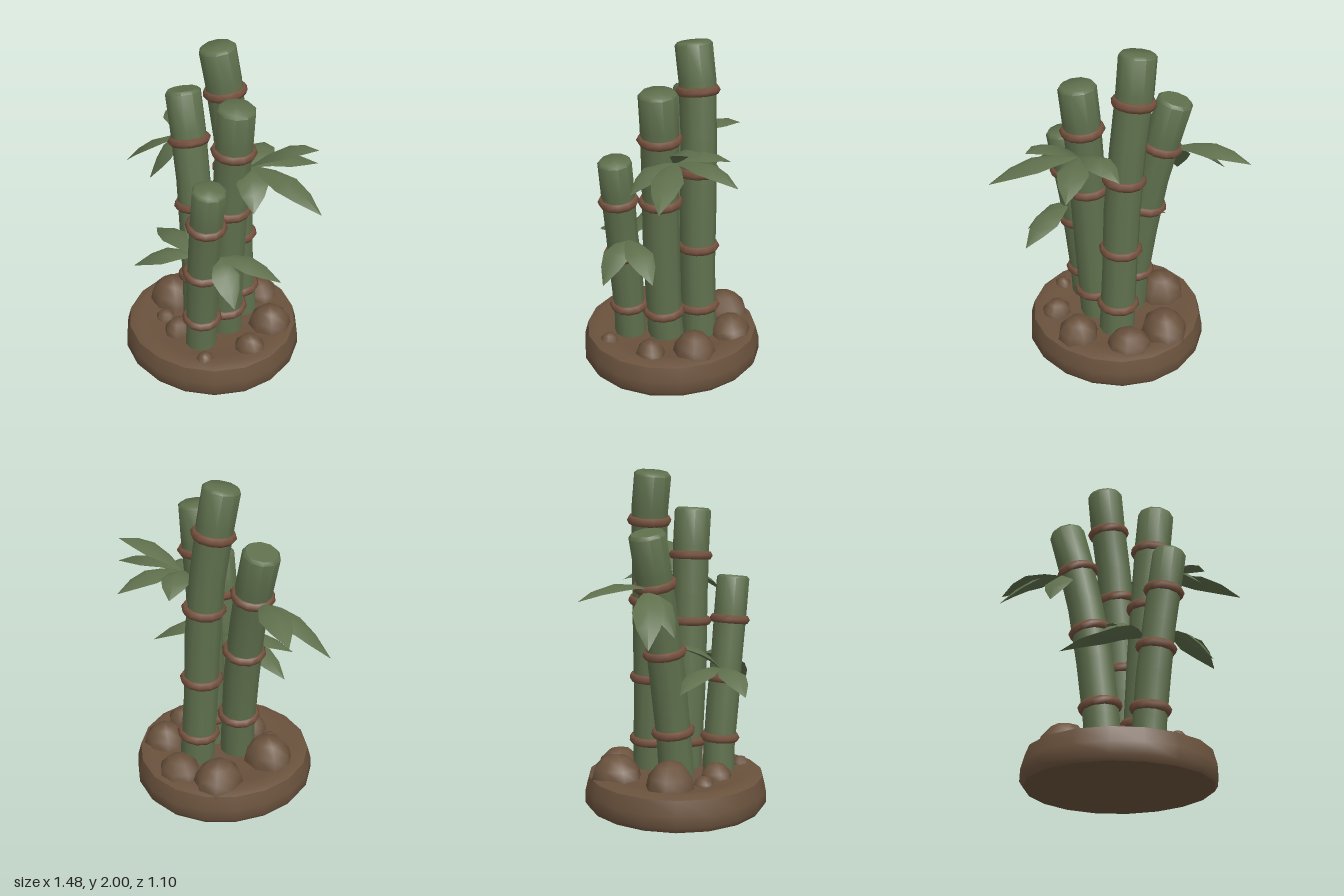
import * as THREE from 'three';
import { toCreasedNormals } from 'three/addons/utils/BufferGeometryUtils.js';

const mat = (name, color) => Object.assign(new THREE.MeshStandardMaterial({ color }), { name });
const UP = new THREE.Vector3(0, 1, 0);
const v2 = (a) => new THREE.Vector2(a[0], a[1]);
const v3 = (a) => new THREE.Vector3(...a);

// Point on a curve at a given height
function atHeight(curve, y) {
  let lo = 0, hi = 1;
  for (let i = 0; i < 24; i++) {
    const m = (lo + hi) / 2;
    if (curve.getPoint(m).y < y) lo = m; else hi = m;
  }
  return lo;
}

// Capped stalk: a unit-height lathe bent along a curve
function stalkGeometry(curve, r) {
  const profile = [[r, 0], [r * 0.97, 0.2], [r, 0.4], [r * 0.97, 0.6], [r, 0.8], [r, 0.985], [r * 0.85, 1], [0, 1]];
  const g = new THREE.LatheGeometry(profile.map(v2), 10);
  const p = g.attributes.position, q = new THREE.Quaternion(), v = new THREE.Vector3();
  for (let i = 0; i < p.count; i++) {
    const t = p.getY(i);
    q.setFromUnitVectors(UP, curve.getTangent(t));
    v.set(p.getX(i), 0, p.getZ(i)).applyQuaternion(q).add(curve.getPoint(t));
    p.setXYZ(i, v.x, v.y, v.z);
  }
  return toCreasedNormals(g, 0.85);
}

// Arched leaf with a diamond cross-section, lofted from root to tip
function leafGeometry(root, tip, width) {
  const a = v3(root), b = v3(tip);
  const mid = a.clone().lerp(b, 0.5);
  mid.y += 0.09;
  const curve = new THREE.QuadraticBezierCurve3(a, mid, b);
  const stations = [[0, 0.15], [0.25, 0.65], [0.5, 1], [0.75, 0.7], [1, 0.02]];
  const pos = [], idx = [];
  stations.forEach(([t, w], i) => {
    const c = curve.getPoint(t), d = curve.getTangent(t);
    const s = d.clone().cross(UP).normalize(), n = s.clone().cross(d);
    const section = [[1, -0.12], [0, 0.2], [-1, -0.12], [0, -0.25]];
    section.forEach(([x, y], j) => {
      const pt = c.clone().addScaledVector(s, x * w * width).addScaledVector(n, y * w * width);
      pos.push(pt.x, pt.y, pt.z);
      if (i < stations.length - 1) {
        const k = i * 4 + j, l = i * 4 + (j + 1) % 4;
        idx.push(k, k + 4, l, l, k + 4, l + 4);
      }
    });
  });
  const g = new THREE.BufferGeometry();
  g.setAttribute('position', new THREE.Float32BufferAttribute(pos, 3));
  g.setIndex(idx);
  return toCreasedNormals(g, 0.8);
}

export function createModel() {
  const green = mat('bamboo green', 0x5f704d);
  const soil = mat('soil brown', 0x6a523d);
  const nodeBrown = mat('node brown', 0x74503d);
  const model = new THREE.Group();
  const add = (name, geometry, material, parent = model) => {
    const m = new THREE.Mesh(geometry, material);
    m.name = name;
    parent.add(m);
    return m;
  };

  // Round mound with a soft rim and a slightly irregular outline
  const profile = [[0, 0], [0.53, 0], [0.55, 0.03], [0.548, 0.1], [0.525, 0.185], [0.47, 0.205], [0.4, 0.19], [0, 0.2]];
  const base = new THREE.LatheGeometry(profile.map(v2), 18);
  const bp = base.attributes.position;
  for (let i = 0; i < bp.count; i++) {
    const x = bp.getX(i), z = bp.getZ(i), k = 1 + 0.012 * Math.sin(3 * Math.atan2(z, x));
    bp.setX(i, x * k);
    bp.setZ(i, z * k);
  }
  add('base', toCreasedNormals(base, 0.9), soil).position.x = -0.03;

  // Rocks: x, z, radius, top height
  const rocks = [
    [-0.34, 0.02, 0.16, 0.35], [-0.2, -0.33, 0.16, 0.33], [0.05, -0.37, 0.14, 0.3],
    [0.3, -0.16, 0.14, 0.32], [-0.1, 0.25, 0.1, 0.28], [0.34, 0.1, 0.1, 0.28],
    [0.2, 0.36, 0.06, 0.24], [-0.25, 0.2, 0.07, 0.24],
  ];
  rocks.forEach(([x, z, r, top], i) => {
    const m = add('rock', new THREE.SphereGeometry(1, 8, 6), soil);
    m.position.set(x, 0.17, z);
    m.scale.set(r, top - 0.17, r * 0.92);
    m.rotation.y = i * 1.3;
  });

  // Stalks: curve points, radius, heights of the node rings
  const stalks = [
    ['tallBackStalk', [[0.05, 0.15, -0.18], [0.02, 0.74, -0.165], [0, 1.23, -0.165], [-0.06, 1.7, -0.155], [-0.095, 1.975, -0.125]], 0.108, [0.37, 0.76, 1.23, 1.7]],
    ['leftStalk', [[-0.12, 0.15, 0.02], [-0.14, 0.47, 0], [-0.195, 0.95, -0.04], [-0.27, 1.35, -0.08], [-0.34, 1.645, -0.11]], 0.108, [0.47, 0.95, 1.35]],
    ['rightStalk', [[0.085, 0.15, 0.02], [0.1, 0.4, 0.035], [0.135, 1.08, 0.05], [0.165, 1.48, 0.05], [0.19, 1.76, 0.06]], 0.11, [0.36, 1.09, 1.48]],
    ['frontStalk', [[0.07, 0.15, 0.24], [0.085, 0.39, 0.245], [0.115, 0.75, 0.27], [0.16, 1.1, 0.29], [0.195, 1.36, 0.305]], 0.098, [0.39, 0.75, 1.1]],
  ];
  for (const [name, points, r, nodes] of stalks) {
    const group = new THREE.Group();
    group.name = name;
    model.add(group);
    const curve = new THREE.CatmullRomCurve3(points.map(v3));
    add('stalk', stalkGeometry(curve, r), green, group);
    for (const y of nodes) {
      const t = atHeight(curve, y);
      const ring = add('nodeRing', new THREE.TorusGeometry(r - 0.005, 0.028, 6, 12), nodeBrown, group);
      ring.position.copy(curve.getPoint(t));
      ring.quaternion.setFromUnitVectors(new THREE.Vector3(0, 0, 1), curve.getTangent(t));
    }
  }

  // Leaf clusters: root point, half width, leaf tips
  const clusters = [
    ['upperRightLeaves', [0.22, 1.36, -0.04], 0.09, [[0.74, 1.27, 0.02], [0.58, 1.53, -0.17], [0.44, 1.3, -0.39], [0.11, 1.33, -0.35], [0.42, 1.24, 0.2]]],
    ['upperLeftLeaves', [-0.34, 1.33, -0.1], 0.09, [[-0.68, 1.3, -0.41], [-0.74, 1.06, -0.02], [-0.46, 1.08, 0.07]]],
    ['lowerLeftLeaves', [0.04, 0.82, 0.25], 0.085, [[-0.4, 0.75, 0.09], [-0.27, 0.72, 0.44], [-0.11, 0.96, 0]]],
    ['lowerRightLeaves', [0.2, 0.87, 0.24], 0.085, [[0.53, 0.75, 0.07], [0.42, 0.68, 0.36]]],
  ];
  for (const [name, root, width, tips] of clusters) {
    const group = new THREE.Group();
    group.name = name;
    model.add(group);
    for (const tip of tips) add('leaf', leafGeometry(root, tip, width), green, group);
  }
  return model;
}
